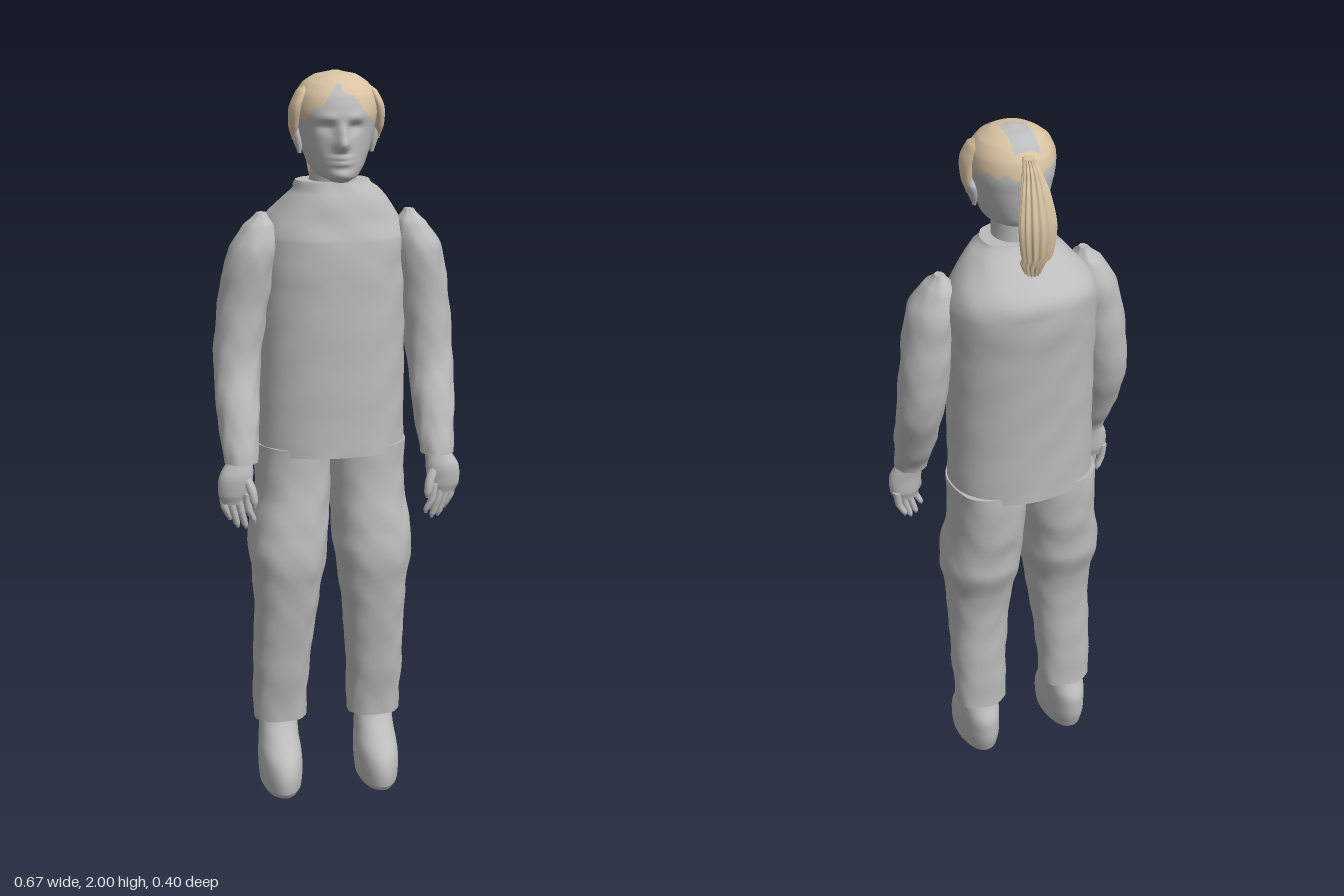
import * as THREE from 'three';

const grey = new THREE.MeshStandardMaterial({ color: 0xbcbcbc });
grey.name = 'plain grey';
const tan = new THREE.MeshStandardMaterial({ color: 0xd8c3a2 });
tan.name = 'tan hair';

const V = (x, y, z) => new THREE.Vector3(x, y, z);
const bell = (d, w) => Math.exp(-(d * d) / (w * w));

// Smoothly interpolates the cross-section rows [y, cx, cz, rx, rz]
function refine(rows, steps) {
  const out = [];
  for (let i = 0; i < rows.length - 1; i++) {
    const a = rows[Math.max(0, i - 1)], b = rows[i], c = rows[i + 1], d = rows[Math.min(rows.length - 1, i + 2)];
    for (let s = 0; s < steps; s++) {
      const t = s / steps;
      out.push(b.map((_, k) => {
        if (k === 0) return b[0] + (c[0] - b[0]) * t;
        const v = 0.5 * (2 * b[k] + (c[k] - a[k]) * t + (2 * a[k] - 5 * b[k] + 4 * c[k] - d[k]) * t * t
          + (3 * b[k] - a[k] - 3 * c[k] + d[k]) * t * t * t);
        return k > 2 ? Math.max(v, 0.002) : v;
      }));
    }
  }
  out.push(rows[rows.length - 1]);
  return out;
}

// Skins rounded sections from bottom to top; shape(p, angle) moves points,
// pick(centre) chooses a material index for each face
function loft(name, rows, { seg = 32, steps = 5, power = 2, side = 1, shape, pick } = {}) {
  const rings = refine(rows, steps), pos = [], faces = [[], []];
  const soft = (v) => Math.sign(v) * Math.abs(v) ** (2 / power);
  rings.forEach(([y, cx, cz, rx, rz]) => {
    for (let j = 0; j < seg; j++) {
      const a = (j / seg) * Math.PI * 2;
      const p = V(side * cx + 0.018 * (y - 1) * (y < 1.7 ? 1 : 0.3) + rx * soft(Math.sin(a)), y, cz + rz * soft(Math.cos(a)));
      if (shape) shape(p, a);
      pos.push(p.x, p.y, p.z);
    }
  });
  const at = (i) => V(pos[i * 3], pos[i * 3 + 1], pos[i * 3 + 2]);
  const add = (a, b, c) => {
    const mid = at(a).add(at(b)).add(at(c)).divideScalar(3);
    faces[pick ? pick(mid) : 0].push(a, b, c);
  };
  for (let i = 0; i < rings.length - 1; i++) {
    for (let j = 0; j < seg; j++) {
      const k = (j + 1) % seg, a = i * seg + j, b = i * seg + k;
      add(a, b, b + seg);
      add(a, b + seg, a + seg);
    }
  }
  // End caps with their own points, so the rims stay crisp
  [0, rings.length - 1].forEach((r, top) => {
    const base = pos.length / 3, mid = V(0, 0, 0);
    for (let j = 0; j < seg; j++) {
      const p = at(r * seg + j);
      mid.addScaledVector(p, 1 / seg);
      pos.push(p.x, p.y, p.z);
    }
    pos.push(mid.x, mid.y, mid.z);
    for (let j = 0; j < seg; j++) {
      const a = base + j, b = base + ((j + 1) % seg);
      if (top) add(a, b, base + seg); else add(b, a, base + seg);
    }
  });
  const g = new THREE.BufferGeometry();
  g.setAttribute('position', new THREE.Float32BufferAttribute(pos, 3));
  g.setIndex([...faces[0], ...faces[1]]);
  g.addGroup(0, faces[0].length, 0);
  g.addGroup(faces[0].length, faces[1].length, 1);
  g.computeVertexNormals();
  const m = new THREE.Mesh(g, [grey, tan]);
  m.name = name;
  return m;
}

// Nose, eye sockets, brow, lips and chin pushed out of the front of the head
function face(p, a) {
  if (Math.cos(a) <= 0) return;
  const { x, y } = p, ax = Math.abs(x);
  p.z += 0.022 * bell(x, 0.012) * bell(y - 1.848, 0.024)
    + 0.037 * bell(x, 0.016) * bell(y - 1.82, 0.016)
    + 0.007 * bell(ax - 0.035, 0.024) * bell(y - 1.888, 0.012)
    - 0.013 * bell(ax - 0.036, 0.017) * bell(y - 1.863, 0.012)
    + 0.004 * bell(ax - 0.036, 0.009) * bell(y - 1.861, 0.005)
    + 0.011 * bell(x, 0.026) * (bell(y - 1.787, 0.006) + bell(y - 1.772, 0.006))
    + 0.008 * bell(x, 0.025) * bell(y - 1.742, 0.012);
}

// Jagged hairline, with a bare patch at the back of the crown
function hairline({ x, y, z }) {
  const jag = 0.008 * Math.sin(x * 110 + z * 70);
  if (Math.abs(x) < 0.035 && z < 0.04 && z > -0.06) return 0;
  const hem = z > 0.02 ? 1.968 - 0.95 * Math.abs(x) : 1.905;
  return y > hem + jag ? 1 : 0;
}

// Gentle creases in cloth
const cloth = (p, a) => {
  const k = 0.0025 * Math.sin(p.y * 47 + Math.sin(a * 3) * 2) * Math.sin(a * 4 + p.y * 9);
  p.x += k * Math.sin(a);
  p.z += k * Math.cos(a);
};

export function createModel() {
  const model = new THREE.Group();
  model.name = 'standing figure';

  // Shirt body, straight sided, then sloping in to the collar
  model.add(loft('shirt', [
    [0.98, 0, -0.01, 0.203, 0.148], [1.2, 0, -0.015, 0.2, 0.152], [1.42, 0, -0.025, 0.2, 0.16],
    [1.56, 0, -0.036, 0.2, 0.164], [1.61, 0, -0.04, 0.182, 0.152], [1.66, 0, -0.018, 0.143, 0.118],
    [1.715, 0, 0.004, 0.098, 0.077]], { seg: 48, power: 2.2, shape: cloth }));

  // Neck and head
  model.add(loft('neck', [[1.68, 0, 0.008, 0.068, 0.066], [1.73, 0, 0.012, 0.062, 0.066], [1.8, 0, 0.02, 0.062, 0.07]]));
  model.add(loft('head', [
    [1.722, 0, 0.105, 0.024, 0.04], [1.735, 0, 0.085, 0.05, 0.072], [1.76, 0, 0.052, 0.072, 0.108],
    [1.8, 0, 0.043, 0.088, 0.116], [1.86, 0, 0.038, 0.103, 0.12], [1.9, 0, 0.038, 0.11, 0.123],
    [1.94, 0, 0.036, 0.104, 0.112], [1.97, 0, 0.034, 0.085, 0.087], [1.99, 0, 0.032, 0.054, 0.053],
    [2.0, 0, 0.032, 0.01, 0.01]], { seg: 80, steps: 7, shape: face, pick: hairline }));

  // Ponytail with fluted strands
  model.add(loft('ponytail', [
    [1.635, 0, -0.118, 0.006, 0.005], [1.66, 0, -0.122, 0.02, 0.016], [1.72, 0, -0.132, 0.04, 0.026],
    [1.8, 0, -0.136, 0.047, 0.028], [1.88, 0, -0.12, 0.036, 0.024], [1.93, 0, -0.096, 0.022, 0.024],
    [1.955, 0, -0.08, 0.014, 0.016]], {
    seg: 72, pick: () => 1,
    shape: (p, a) => { p.x *= 1 + 0.07 * Math.cos(a * 14); p.z += 0.003 * Math.cos(a * 14) * Math.cos(a); },
  }));

  for (const s of [1, -1]) {
    const side = s > 0 ? 'left ' : 'right ';
    const add = (name, rows, opt = {}) => model.add(loft(side + name, rows, { side: s, ...opt }));

    // Ear and the lock of hair over it
    add('ear', [[1.79, 0.096, 0.05, 0.005, 0.008], [1.82, 0.1, 0.046, 0.012, 0.018],
      [1.85, 0.106, 0.042, 0.012, 0.022], [1.87, 0.104, 0.042, 0.004, 0.008]], { seg: 16 });
    add('hair lock', [[1.825, 0.112, 0.05, 0.004, 0.008], [1.86, 0.113, 0.055, 0.013, 0.024],
      [1.91, 0.108, 0.06, 0.017, 0.036], [1.95, 0.092, 0.055, 0.014, 0.034], [1.968, 0.08, 0.05, 0.004, 0.01]],
    { seg: 20, pick: () => 1 });

    // Sleeve, bending forward below the elbow
    add('sleeve', [
      [0.985, 0.268, 0.132, 0.045, 0.042], [1.05, 0.268, 0.105, 0.052, 0.054], [1.12, 0.268, 0.074, 0.058, 0.061],
      [1.22, 0.266, 0.032, 0.063, 0.065], [1.34, 0.254, 0.014, 0.068, 0.07], [1.46, 0.236, 0.014, 0.07, 0.075],
      [1.54, 0.222, 0.016, 0.064, 0.077], [1.6, 0.206, 0.014, 0.04, 0.054], [1.632, 0.2, 0.012, 0.013, 0.016]],
    { shape: cloth });

    // Hand: palm, four fingers and a thumb
    add('palm', [[0.875, 0.285, 0.145, 0.034, 0.02], [0.9, 0.287, 0.145, 0.043, 0.028],
      [0.95, 0.282, 0.145, 0.046, 0.032], [0.995, 0.27, 0.135, 0.033, 0.03]], { seg: 20 });
    for (let i = 0; i < 4; i++) {
      const x = 0.316 - i * 0.02, z = 0.125 + i * 0.012, low = 0.822 - (i % 3 ? 0.018 : 0);
      add('finger ' + (i + 1), [[low, x - 0.02, z + 0.003, 0.004, 0.004], [low + 0.012, x - 0.017, z + 0.003, 0.009, 0.01],
        [0.86, x - 0.005, z + 0.006, 0.0105, 0.012], [0.905, x, z + 0.004, 0.011, 0.013]], { seg: 12, steps: 3 });
    }
    add('thumb', [[0.868, 0.236, 0.176, 0.004, 0.004], [0.885, 0.238, 0.175, 0.011, 0.011],
      [0.92, 0.245, 0.168, 0.013, 0.014], [0.96, 0.262, 0.15, 0.014, 0.016]], { seg: 12, steps: 3 });

    // Trouser leg with a fuller thigh and pocket
    add('trouser leg', [
      [0.19, 0.135, 0.005, 0.075, 0.06], [0.34, 0.134, 0.014, 0.079, 0.073], [0.5, 0.126, 0.025, 0.086, 0.086],
      [0.62, 0.121, 0.026, 0.096, 0.105], [0.7, 0.12, 0.014, 0.109, 0.125], [0.76, 0.116, 0.008, 0.108, 0.125],
      [0.86, 0.105, -0.008, 0.103, 0.125], [1.0, 0.103, -0.015, 0.103, 0.125]],
    { seg: 40, power: 2.3, shape: cloth });

    // Shoe
    add('shoe', [
      [0, 0.139, 0.062, 0.048, 0.1], [0.015, 0.139, 0.06, 0.057, 0.113], [0.06, 0.139, 0.052, 0.061, 0.122],
      [0.1, 0.139, 0.04, 0.06, 0.115], [0.14, 0.139, 0.014, 0.056, 0.088], [0.18, 0.138, 0.004, 0.054, 0.058],
      [0.21, 0.137, 0.004, 0.052, 0.05]], { seg: 36 });
  }
  return model;
}
